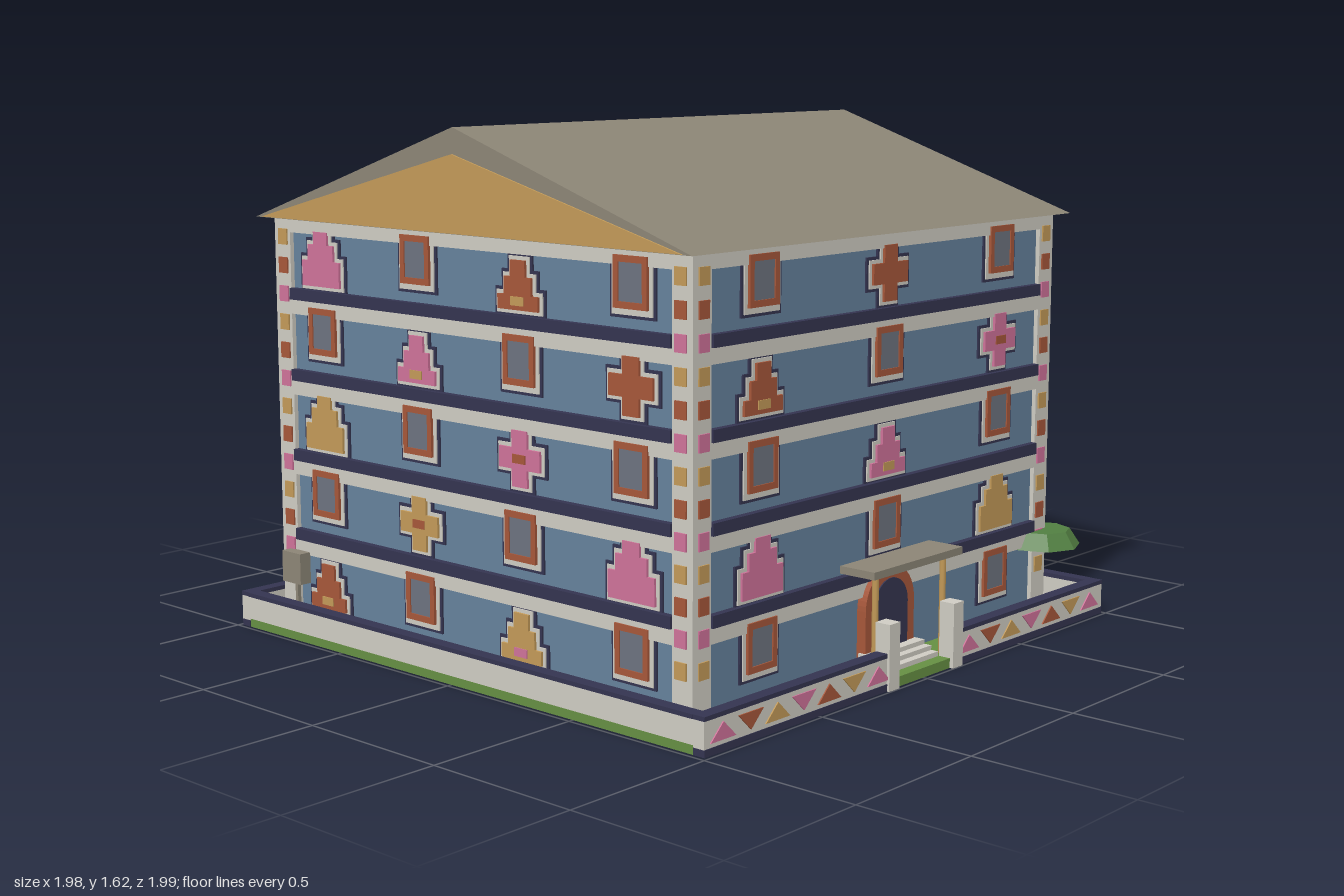
import * as THREE from 'three';

const paint = (name, hex) => {
  const m = new THREE.MeshStandardMaterial({ color: hex });
  m.name = name;
  return m;
};
const blue = paint('wall blue', 0x65829c), navy = paint('navy', 0x343450), white = paint('off white', 0xcfccc3);
const rust = paint('rust', 0xa6573a), pink = paint('pink', 0xcf7299), ochre = paint('ochre', 0xc39a58);
const stone = paint('roof grey', 0x8c8576), lawn = paint('lawn green', 0x668f43);
const leaf = paint('leaf green', 0x527f42), glass = paint('glass', 0x6d737f);

const ZC = -0.04;                        // centre of the house in z
const HX = 0.868, HZ = 0.882;            // half size of the house
const TOPS = [1.315, 1.058, 0.8, 0.543, 0.286]; // top of each storey

function add(parent, name, geometry, material, x = 0, y = 0, z = 0) {
  const mesh = new THREE.Mesh(geometry, material);
  mesh.name = name;
  mesh.position.set(x, y, z);
  parent.add(mesh);
  return mesh;
}

// box given by its extents
function block(parent, name, material, x0, x1, y0, y1, z0, z1) {
  return add(parent, name, new THREE.BoxGeometry(x1 - x0, y1 - y0, z1 - z0), material,
    (x0 + x1) / 2, (y0 + y1) / 2, (z0 + z1) / 2);
}

const polygon = (pts) => new THREE.Shape(pts.map(([x, y]) => new THREE.Vector2(x, y)));
const plate = (shape, depth) => new THREE.ExtrudeGeometry(shape, { depth, bevelEnabled: false, curveSegments: 12 });

// stepped outlines, grown outwards by g
function crossShape(g) {
  const a = 0.083 + g, b = 0.031 + g;
  return polygon([[-b, -a], [b, -a], [b, -b], [a, -b], [a, b], [b, b], [b, a], [-b, a], [-b, b], [-a, b], [-a, -b], [-b, -b]]);
}
function pyramidShape(g, tall) {
  const steps = tall
    ? [[0.088, -0.085, -0.005], [0.06, -0.005, 0.045], [0.032, 0.045, 0.085]]
    : [[0.082, -0.083, -0.04], [0.055, -0.04, 0.012], [0.03, 0.012, 0.06]];
  const right = [];
  steps.forEach(([w, y0, y1], i) => right.push([w + g, i ? y0 + g : y0 - g], [w + g, y1 + g]));
  return polygon([...right, ...right.map(([x, y]) => [-x, y]).reverse()]);
}

// motif in three stacked layers: navy edge, white edge, coloured face
function motif(face, name, shapeOf, color, accent, x, y, accentY) {
  const g = new THREE.Group();
  g.name = name;
  g.position.set(x, y, 0);
  add(g, 'navyEdge', plate(shapeOf(0.02), 0.008), navy, 0, 0, -0.016);
  add(g, 'whiteEdge', plate(shapeOf(0.011), 0.008), white, 0, 0, -0.012);
  add(g, 'colourFace', plate(shapeOf(0), 0.009), color, 0, 0, -0.005);
  if (accent) block(g, 'accent', accent, -0.026, 0.026, accentY - 0.013, accentY + 0.013, 0, 0.007);
  face.add(g);
}

function windowUnit(face, x, y) {
  const g = new THREE.Group();
  g.name = 'window';
  g.position.set(x, y, 0);
  const rect = (w, h) => polygon([[-w, -h], [w, -h], [w, h], [-w, h]]);
  add(g, 'navyEdge', plate(rect(0.085, 0.1), 0.008), navy, 0, 0, -0.016);
  add(g, 'whiteSurround', plate(rect(0.076, 0.091), 0.008), white, 0, 0, -0.012);
  const frame = rect(0.063, 0.073);
  frame.holes.push(rect(0.045, 0.054));
  add(g, 'frame', plate(frame, 0.009), rust, 0, 0, -0.004);
  block(g, 'pane', glass, -0.046, 0.046, -0.055, 0.055, -0.007, 0.001);
  face.add(g);
}

// W window, C cross, A pyramid with accent, B tall pyramid, - nothing; second letter is the colour
const TONES = { r: rust, p: pink, o: ochre };
function facade(name, half, depth, angle, columns, rows) {
  const face = new THREE.Group();
  face.name = name;
  face.rotation.y = angle;
  face.position.set(Math.sin(angle) * depth, 0, ZC + Math.cos(angle) * depth);
  const w = half - 0.075;
  TOPS.forEach((top, r) => {
    block(face, 'whiteBand', white, -w, w, top - 0.046, top, -0.02, 0);
    if (r) block(face, 'navyBand', navy, -w, w, top, top + 0.036, -0.02, 0.008);
    rows[r].split(' ').forEach((code, c) => {
      const x = columns[c], tone = TONES[code[1]];
      if (code === 'W') windowUnit(face, x, top - 0.092);
      if (code[0] === 'C') motif(face, 'crossMotif', crossShape, tone, tone === rust ? null : rust, x, top - 0.12, 0);
      if (code[0] === 'A') {
        motif(face, 'pyramidMotif', (g) => pyramidShape(g, false), tone, tone === ochre ? pink : ochre, x, top - 0.122, -0.057);
      }
      if (code[0] === 'B') motif(face, 'tallPyramidMotif', (g) => pyramidShape(g, true), tone, null, x, top - 0.122, 0);
    });
  });
  // coloured squares on the corner posts
  for (const s of [-1, 1]) {
    for (let i = 0; i < 13; i++) {
      const y = 1.254 - 0.09 * i, x = s * (half - 0.042);
      block(face, 'cornerSquare', [ochre, rust, pink][i % 3], x - 0.021, x + 0.021, y - 0.025, y + 0.025, -0.003, 0.005);
    }
  }
  return face;
}

function entrance() {
  const g = new THREE.Group();
  g.name = 'entrance';
  const arch = (r, base) => {
    const s = new THREE.Shape();
    s.moveTo(-r, base);
    s.lineTo(r, base);
    s.lineTo(r, 0.2);
    s.absarc(0, 0.2, r, 0, Math.PI, false);
    s.closePath();
    return s;
  };
  add(g, 'doorSurround', plate(arch(0.12, 0.03), 0.035), rust, 0, 0, 0.825);
  add(g, 'door', plate(arch(0.083, 0.04), 0.006), navy, 0, 0, 0.858);
  for (let i = 0; i < 3; i++) {
    block(g, 'step', white, -0.13, 0.13, 0.03, 0.045 + 0.014 * i, 0.84, 0.945 - 0.025 * i);
  }
  block(g, 'porchRoof', stone, -0.22, 0.22, 0.333, 0.356, 0.84, 0.965);
  for (const s of [-1, 1]) {
    add(g, 'porchColumn', new THREE.CylinderGeometry(0.01, 0.01, 0.305, 8), ochre, s * 0.168, 0.1825, 0.93);
    block(g, 'gatePost', white, s * 0.16 - 0.025, s * 0.16 + 0.025, 0, 0.2, 0.945, 0.997);
  }
  return g;
}

// boundary wall with painted triangles on the front and back
function boundary() {
  const g = new THREE.Group();
  g.name = 'boundaryWall';
  const length = (x0, x1, s) => {
    const z0 = s > 0 ? 0.95 : -0.988, z1 = z0 + 0.038;
    block(g, 'wallBase', navy, x0, x1, 0.001, 0.022, z0, z1 + 0.002 * s);
    block(g, 'wallBody', white, x0, x1, 0.022, 0.1, z0, z1);
    block(g, 'wallCap', navy, x0, x1, 0.1, 0.113, z0 - 0.002, z1 + 0.002);
  };
  length(-0.988, -0.15, 1);
  length(0.15, 0.988, 1);
  length(-0.988, 0.988, -1);
  for (const s of [-1, 1]) {
    const x = s * 0.969;
    block(g, 'sideWall', white, x - 0.019, x + 0.019, 0.028, 0.1, -0.95, 0.95);
    block(g, 'sideCap', navy, x - 0.021, x + 0.021, 0.1, 0.113, -0.95, 0.95);
  }
  const up = polygon([[-0.052, 0.035], [0.052, 0.035], [0, 0.085]]);
  const down = polygon([[-0.052, 0.085], [0, 0.035], [0.052, 0.085]]);
  const tones = [pink, rust, ochre];
  for (let i = 0; i < 17; i++) {
    const x = -0.912 + 0.114 * i, shape = i % 2 ? down : up;
    const back = add(g, 'triangle', plate(shape, 0.007), tones[i % 3], -x, 0, -0.985);
    back.rotation.y = Math.PI;
    if (i < 7 || i > 9) {
      add(g, 'triangle', plate(i > 9 ? (i % 2 ? down : up) : shape, 0.007), tones[(i > 9 ? i - 10 : i) % 3], x, 0, 0.985);
    }
  }
  return g;
}

export function createModel() {
  const model = new THREE.Group();
  model.name = 'apartmentHouse';
  block(model, 'lawn', lawn, -0.985, 0.985, 0, 0.03, -0.985, 0.985);
  model.add(boundary());

  // house body and corner posts
  block(model, 'walls', blue, -HX + 0.014, HX - 0.014, 0.03, 1.315, ZC - HZ + 0.014, ZC + HZ - 0.014);
  for (const sx of [-1, 1]) {
    for (const sz of [-1, 1]) {
      const x = sx * (HX - 0.0375), z = ZC + sz * (HZ - 0.0375);
      block(model, 'cornerPost', white, x - 0.0375, x + 0.0375, 0.03, 1.315, z - 0.0375, z + 0.0375);
    }
  }

  // four decorated sides, columns running left to right from outside
  const three = [-0.577, 0, 0.577], four = [-0.657, -0.219, 0.219, 0.657];
  model.add(facade('frontFacade', HX, HZ, 0, three, ['W Cr W', 'Ar W Cp', 'W Ap W', 'Bp W Bo', 'W - W']));
  model.add(facade('sideFacade', HZ, HX, Math.PI / 2, four,
    ['W Cr W Bp', 'Ar W Cp W', 'W Ap W Co', 'Bp W Bo W', 'W Ao W Ar']));
  model.add(facade('backFacade', HX, HZ, Math.PI, three, ['W Ar W', 'Ap W Cr', 'W Cp W', 'Co W Bp', 'W Ao W']));
  model.add(facade('sideFacade', HZ, HX, -Math.PI / 2, four,
    ['Bp W Ar W', 'W Ap W Cr', 'Bo W Cp W', 'W Co W Bp', 'Ar W Ao W']));

  // gabled roof with ochre gable panels
  const roof = add(model, 'roof', plate(polygon([[-0.918, 1.315], [0.918, 1.315], [0, 1.622]]), 1.824), stone, -0.912, 0, ZC);
  roof.rotation.y = Math.PI / 2;
  for (const s of [-1, 1]) {
    const gable = add(model, 'gablePanel', plate(polygon([[-0.885, 1.317], [0.885, 1.317], [0, 1.545]]), 0.007), ochre, s * 0.911, 0, ZC);
    gable.rotation.y = s * Math.PI / 2;
  }

  model.add(entrance());

  // clipped tree at the front corner
  const canopy = new THREE.CylinderGeometry(0.095, 0.13, 0.052, 8).toNonIndexed();
  canopy.computeVertexNormals();
  add(model, 'treeCanopy', canopy, leaf, 0.853, 0.26, 0.835);

  // small box on a leg beside the far corner
  block(model, 'wallBox', stone, -0.907, -0.866, 0.15, 0.25, -0.88, -0.79);
  block(model, 'wallBoxLeg', stone, -0.888, -0.876, 0.03, 0.15, -0.841, -0.829);
  return model;
}
